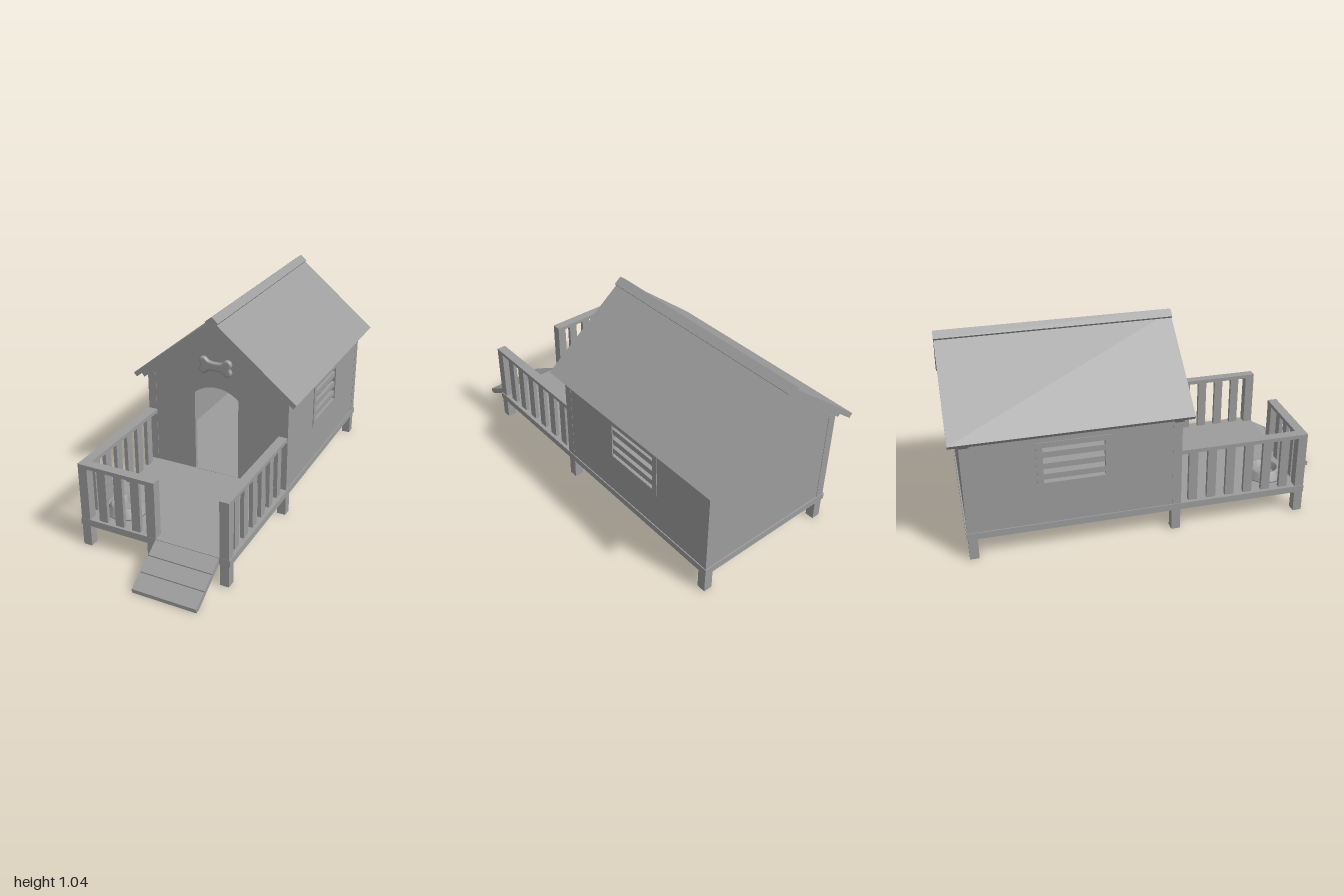
import * as THREE from 'three';
import { mergeVertices } from 'three/addons/utils/BufferGeometryUtils.js';

const grey = new THREE.MeshStandardMaterial({ color: 0x9d9d9d, side: THREE.DoubleSide });
const SLOPE = 0.8, WALL = 0.395, FRONT = 0.11, BACK = -0.948, POST = 0.046;

function add(parent, name, geometry, x = 0, y = 0, z = 0) {
  const mesh = new THREE.Mesh(geometry, grey);
  mesh.name = name;
  mesh.position.set(x, y, z);
  parent.add(mesh);
  return mesh;
}

// Box given by its minimum and maximum corners
function box(parent, name, x0, x1, y0, y1, z0, z1) {
  return add(parent, name, new THREE.BoxGeometry(x1 - x0, y1 - y0, z1 - z0),
    (x0 + x1) / 2, (y0 + y1) / 2, (z0 + z1) / 2);
}

const polygon = pts => new THREE.Shape(pts.map(p => new THREE.Vector2(...p)));
const rect = (x0, x1, y0, y1) => polygon([[x0, y0], [x1, y0], [x1, y1], [x0, y1]]);
const extrude = (shape, depth) =>
  new THREE.ExtrudeGeometry(shape, { depth, bevelEnabled: false, curveSegments: 24 });

// Inverted V with square-cut ends, used for roof, rafters and ridge cap
function chevron(apex, half, t) {
  const n = Math.hypot(1, SLOPE), tip = apex - SLOPE * half;
  const ix = half - t * SLOPE / n, iy = tip - t / n;
  return polygon([[0, apex], [-half, tip], [-ix, iy], [0, apex - t * n], [ix, iy], [half, tip]]);
}

function gable() {
  return polygon([[-WALL, 0.15], [WALL, 0.15], [WALL, 0.985 - SLOPE * WALL], [0, 0.985],
    [-WALL, 0.985 - SLOPE * WALL]]);
}

function buildHouse(house) {
  // Front wall with arched doorway
  const front = gable();
  const r = 0.182, cy = 0.643 - r, a = Math.asin(0.123 / r);
  const door = new THREE.Path();
  door.moveTo(-0.123, 0.151);
  door.lineTo(0.123, 0.151);
  door.absarc(0, cy, r, Math.PI / 2 - a, Math.PI / 2 + a, false);
  door.closePath();
  front.holes.push(door);
  add(house, 'frontWall', extrude(front, 0.02), 0, 0, FRONT - 0.02);
  add(house, 'backWall', extrude(gable(), 0.02), 0, 0, BACK);

  // Side walls with framed, slatted windows
  for (const s of [-1, 1]) {
    const side = rect(BACK, FRONT, 0.15, 0.66);
    side.holes.push(rect(-0.57, -0.27, 0.375, 0.565));
    const wall = add(house, 'sideWall', extrude(side, 0.02), s > 0 ? WALL : -WALL + 0.02);
    wall.rotation.y = -Math.PI / 2;

    const frame = rect(-0.6, -0.24, 0.345, 0.592);
    frame.holes.push(rect(-0.57, -0.27, 0.375, 0.565));
    const trim = add(house, 'windowFrame', extrude(frame, 0.015), s > 0 ? 0.399 : -0.384);
    trim.rotation.y = -Math.PI / 2;

    for (const y of [0.406, 0.463, 0.524])
      add(house, 'windowSlat', new THREE.BoxGeometry(0.02, 0.03, 0.302), s * 0.384, y, -0.42);

    // Corner posts
    for (const z of [FRONT - POST / 2 + 0.002, BACK + POST / 2 - 0.002])
      add(house, 'cornerPost', new THREE.BoxGeometry(POST, 0.51, POST), s * (WALL - POST / 2 + 0.001), 0.405, z);
  }

  // Roof, ridge cap and rafters
  add(house, 'roof', extrude(chevron(1.022, 0.4525, 0.026), 1.158), 0, 0, -1);
  add(house, 'ridgeCap', extrude(chevron(1.038, 0.036, 0.016), 1.16), 0, 0, -1.001);
  for (const z of [FRONT - POST + 0.002, BACK - 0.002])
    add(house, 'rafter', extrude(chevron(0.989, 0.434, 0.024), POST), 0, 0, z);
}

function buildDeck(deck) {
  box(deck, 'floor', -0.4, 0.4, 0.115, 0.15, -0.955, 0.776);

  // Legs
  for (const z of [0.752, 0.087, -0.925])
    for (const x of [-0.372, 0.372])
      add(deck, 'leg', new THREE.BoxGeometry(POST, 0.12, POST), x, 0.06, z);
  add(deck, 'leg', new THREE.BoxGeometry(POST, 0.12, POST), -0.008, 0.06, 0.752);

  // Railing posts and balusters
  for (const x of [-0.372, -0.008, 0.371])
    add(deck, 'railPost', new THREE.BoxGeometry(0.048, 0.285, 0.048), x, 0.29, 0.751);
  for (const x of [-0.372, 0.372])
    for (let i = 0; i < 6; i++)
      add(deck, 'baluster', new THREE.BoxGeometry(0.02, 0.285, POST), x, 0.29, 0.665 - i * 0.0975);
  for (let i = 0; i < 3; i++)
    add(deck, 'baluster', new THREE.BoxGeometry(POST, 0.285, 0.02), -0.279 + i * 0.091, 0.29, 0.752);

  // Handrails
  box(deck, 'handrail', -0.397, -0.348, 0.43, 0.45, 0.1, 0.775);
  box(deck, 'handrail', 0.347, 0.395, 0.43, 0.45, 0.1, 0.775);
  box(deck, 'handrail', -0.348, 0.016, 0.43, 0.45, 0.726, 0.775);
}

// Sloping ramp: a plain board carrying three planks, side profiles extruded across x
function buildRamp(ramp) {
  const slope = z => 0.148 - 0.57 * (z - 0.775);
  const slab = (name, pts) => {
    add(ramp, name, extrude(polygon(pts), 0.329), 0.345).rotation.y = -Math.PI / 2;
  };
  slab('rampBoard', [[0.77, slope(0.77) - 0.006], [0.77, slope(0.77) - 0.032], [0.977, 0], [0.999, 0],
    [0.999, slope(0.999) - 0.006]]);
  for (let i = 0; i < 3; i++) {
    const z0 = 0.775 + 0.075 * i, z1 = z0 + (i < 2 ? 0.071 : 0.075);
    slab('rampPlank', [[z0, slope(z0)], [z0, slope(z0) - 0.007], [z1, slope(z1) - 0.007], [z1, slope(z1)]]);
  }
}

// Feeding bowl
function buildBowl(parent) {
  const profile = [[0, 0], [0.1, 0], [0.099, 0.006], [0.079, 0.041], [0.075, 0.046], [0.069, 0.047],
    [0.063, 0.044], [0.05, 0.014], [0.046, 0.011], [0, 0.011]].map(p => new THREE.Vector2(...p));
  add(parent, 'bowl', new THREE.LatheGeometry(profile, 40), -0.235, 0.15, 0.62);
}

// Puffy bone ornament over the door: one quarter of the outline, mirrored twice
function buildBone(parent) {
  const quarter = [[0.03, 0.015], [0.046, 0.022], [0.062, 0.035], [0.074, 0.033], [0.08, 0.021], [0.074, 0.007]];
  const upper = [...quarter].reverse().concat(quarter.map(([x, y]) => [-x, y]));
  const outline = upper.concat([...upper].reverse().map(([x, y]) => [x, -y]));
  const curve = new THREE.CatmullRomCurve3(outline.map(([x, y]) => new THREE.Vector3(x, y, 0)), true);
  const shape = new THREE.Shape(curve.getPoints(96).slice(0, -1).map(p => new THREE.Vector2(p.x, p.y)));
  const geometry = new THREE.ExtrudeGeometry(shape, {
    depth: 0.004, bevelEnabled: true, bevelThickness: 0.012, bevelSize: 0.01, bevelSegments: 6,
  });
  geometry.deleteAttribute('normal');
  geometry.deleteAttribute('uv');
  const smooth = mergeVertices(geometry, 1e-5);
  smooth.computeVertexNormals();
  add(parent, 'boneOrnament', smooth, 0, 0.7635, FRONT + 0.004);
}

export function createModel() {
  const model = new THREE.Group();
  model.name = 'kennel';
  const part = name => {
    const g = new THREE.Group();
    g.name = name;
    model.add(g);
    return g;
  };
  const house = part('house');
  buildHouse(house);
  buildBone(house);
  const deck = part('deck');
  buildDeck(deck);
  buildBowl(deck);
  buildRamp(part('ramp'));
  return model;
}
